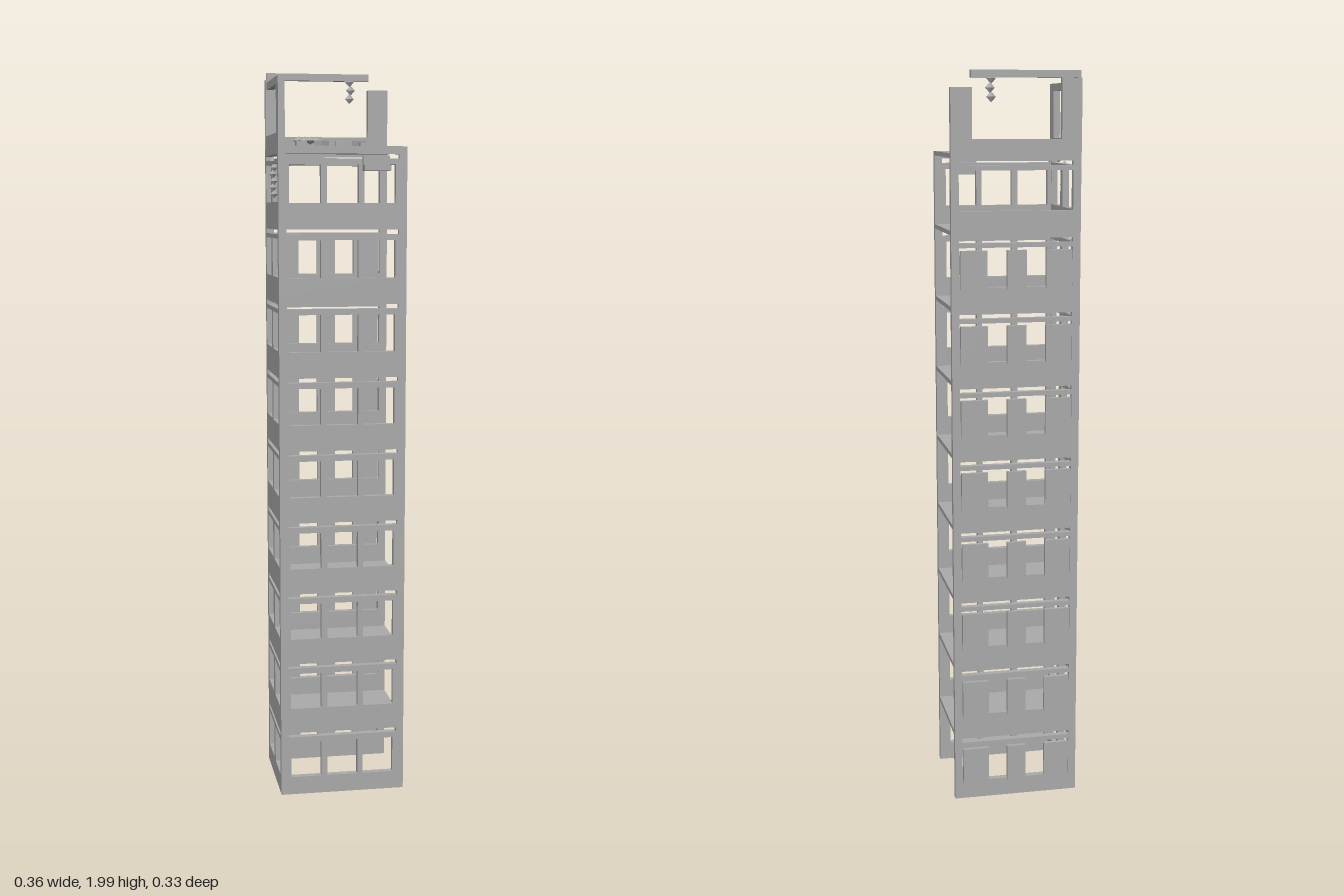
import * as THREE from 'three';

const X0 = -0.168, X1 = 0.178, FLOOR = 0.1983, STOREYS = 9, ROOF = FLOOR * STOREYS, T = 0.018;

export function createModel() {
  const model = new THREE.Group();
  const concrete = new THREE.MeshStandardMaterial({ color: 0xaaaaaa });
  concrete.name = 'concrete grey';

  const add = (name, geo, x = 0, y = 0, z = 0, parent = model) => {
    const m = new THREE.Mesh(geo, concrete);
    m.name = name;
    m.position.set(x, y, z);
    parent.add(m);
    return m;
  };
  // box given by its extents
  const box = (name, x0, x1, y0, y1, z0, z1, parent) =>
    add(name, new THREE.BoxGeometry(x1 - x0, y1 - y0, z1 - z0),
      (x0 + x1) / 2, (y0 + y1) / 2, (z0 + z1) / 2, parent);
  const points = (list) => list.map(([a, b]) => new THREE.Vector2(a, b));
  const rect = (a0, a1, b0, b1) => points([[a0, b0], [a1, b0], [a1, b1], [a0, b1]]);
  const plate = (outline, holes = []) => {
    const s = new THREE.Shape(outline);
    holes.forEach((h) => s.holes.push(new THREE.Path(h)));
    return new THREE.ExtrudeGeometry(s, { depth: T, bevelEnabled: false });
  };

  // wall plates, each with window openings and a slit under the slab
  const front = plate(rect(X0, X1, 0, 0.1865), [
    ...[-0.14, -0.038, 0.062].map((x) => rect(x, x + 0.085, 0.05, 0.15)),
    rect(-0.147, 0.157, 0.166, 0.178)]);
  const back = plate(rect(X0, X1, 0, 0.1865), [
    rect(-0.147, 0.157, 0.05, 0.154), rect(-0.147, 0.157, 0.166, 0.178)]);
  const side = plate(rect(-0.14, 0.11, 0, 0.1865), [
    rect(0, 0.107, 0.052, 0.154), rect(-0.137, -0.026, 0.052, 0.154),
    rect(-0.137, 0.107, 0.166, 0.178)]);
  side.rotateY(-Math.PI / 2);

  for (let i = 0; i < STOREYS; i++) {
    const storey = new THREE.Group();
    storey.name = 'storey' + (i + 1);
    storey.position.y = i * FLOOR;
    model.add(storey);
    add('frontWall', front, 0, 0, 0.11, storey);
    add('backWall', back, 0, 0, -0.158, storey);
    add('sideWall', side, X0 + T, 0, 0, storey);
    box('floorSlab', X0, X1, 0.1865, FLOOR, -0.158, 0.128, storey);
    // boards across the back opening, absent on the top storey
    if (i < STOREYS - 1)
      for (const [a, b] of [[-0.145, -0.075], [-0.022, 0.03], [0.083, 0.155]])
        box('backBoard', a, b, 0.045, 0.147, -0.163, -0.152, storey);
  }

  // broken walls standing on the roof
  const ruinSide = plate(points([[-0.14, 0], [0.128, 0], [0.128, 0.18], [-0.115, 0.18],
    [-0.115, 0.16], [0.085, 0.16], [0.085, 0.035], [-0.14, 0.035]]));
  ruinSide.rotateY(-Math.PI / 2);
  add('brokenSideWall', ruinSide, X0 + T, ROOF, 0);
  const ruinBack = plate(points([[X0, 0], [X1, 0], [X1, 0.165], [0.122, 0.165],
    [0.122, 0.035], [-0.115, 0.035], [-0.115, 0.19], [X0, 0.19]]));
  add('brokenBackWall', ruinBack, 0, ROOF, -0.161);
  box('danglingBeam', -0.164, 0.124, 1.974, 1.993, -0.163, -0.142);

  // loose blocks on the roof
  for (const [x, z, turn] of [[-0.097, 0.055, 0], [-0.042, 0.057, 0.7], [0.01, 0.055, -0.15], [0.062, 0.055, 0.55]])
    add('looseBlock', new THREE.BoxGeometry(0.028, 0.016, 0.028), x, ROOF + 0.008, z).rotation.y = turn;
  box('roofPlank', 0.057, 0.128, ROOF, ROOF + 0.01, 0.07, 0.098);

  // bracket shelf on the front wall
  box('shelfBack', 0.057, 0.128, 1.72, 1.76, 0.128, 0.14);
  box('shelfPlate', 0.057, 0.128, 1.72, 1.735, 0.14, 0.163);

  // faceted beads: a row on the roof and two hanging strands
  const bead = new THREE.OctahedronGeometry(1, 0).toNonIndexed();
  bead.computeVertexNormals();
  const addBead = (name, x, y, z, sx, sy, sz) => add(name, bead, x, y, z).scale.set(sx, sy, sz);
  for (let i = 0; i < 4; i++)
    addBead('roofBead', -0.101 + i * 0.0157, ROOF + 0.017, 0.04, 0.016, 0.011, 0.017);
  for (let i = 0; i < 7; i++)
    addBead('sideStrandBead', i === 0 ? -0.155 : -0.168 - (i % 2) * 0.003, 1.765 - i * 0.0175, 0.04, 0.01, 0.0115, 0.007);
  for (let i = 0; i < 3; i++)
    addBead('backStrandBead', 0.07 + (i % 2) * 0.003, 1.972 - i * 0.023, -0.148, 0.013, 0.014, 0.007);

  return model;
}
